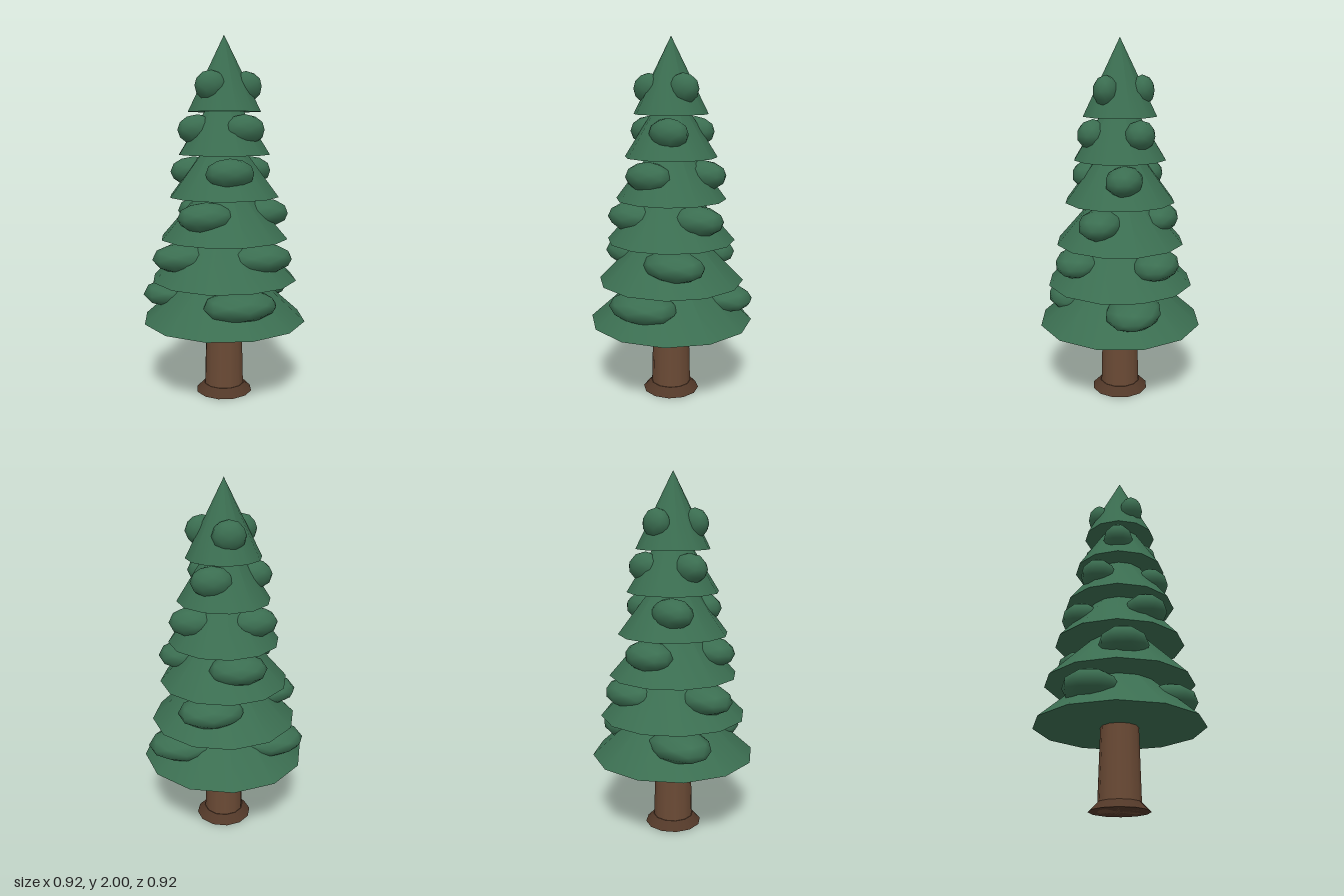
import * as THREE from 'three';

const material = (color) => new THREE.MeshStandardMaterial({ color });

export function createModel() {
  const tree = new THREE.Group();
  tree.name = 'pineTree';
  const green = material(0x3b6e51);
  const bark = material(0x6a4a35);
  const rootBark = material(0x523828);

  const add = (name, geometry, mat, x, y, z, parent = tree) => {
    const mesh = new THREE.Mesh(geometry, mat);
    mesh.name = name;
    mesh.position.set(x, y, z);
    parent.add(mesh);
    return mesh;
  };

  // Tapered trunk and flared root collar
  add('trunk', new THREE.CylinderGeometry(0.1, 0.113, 0.5, 12), bark, 0, 0.25, 0);
  add('rootFlare', new THREE.CylinderGeometry(0.115, 0.16, 0.045, 12), rootBark, 0, 0.0225, 0);

  // Six overlapping cones, each carrying three flattened foliage clumps
  const tiers = 6;
  const coneHeight = 0.41;
  const clump = new THREE.IcosahedronGeometry(1, 1);
  for (let i = 0; i < tiers; i++) {
    const radius = 0.46 - i * 0.051;
    const base = 0.43 + i * 0.232;
    const tier = new THREE.Group();
    tier.name = `tier${i + 1}`;
    tree.add(tier);
    add('branches', new THREE.ConeGeometry(radius, coneHeight, 12), green, 0, base + coneHeight / 2, 0, tier);

    // Clumps keep the same orientation and spiral from tier to tier
    for (let j = 0; j < 3; j++) {
      const angle = Math.PI / 2 - i * 0.65 + (j * Math.PI * 2) / 3;
      const r = radius * 0.585;
      add('foliageClump', clump, green, r * Math.cos(angle), base + 0.135, r * Math.sin(angle), tier)
        .scale.set(radius * 0.445, 0.083, radius * 0.325);
    }
  }
  return tree;
}
